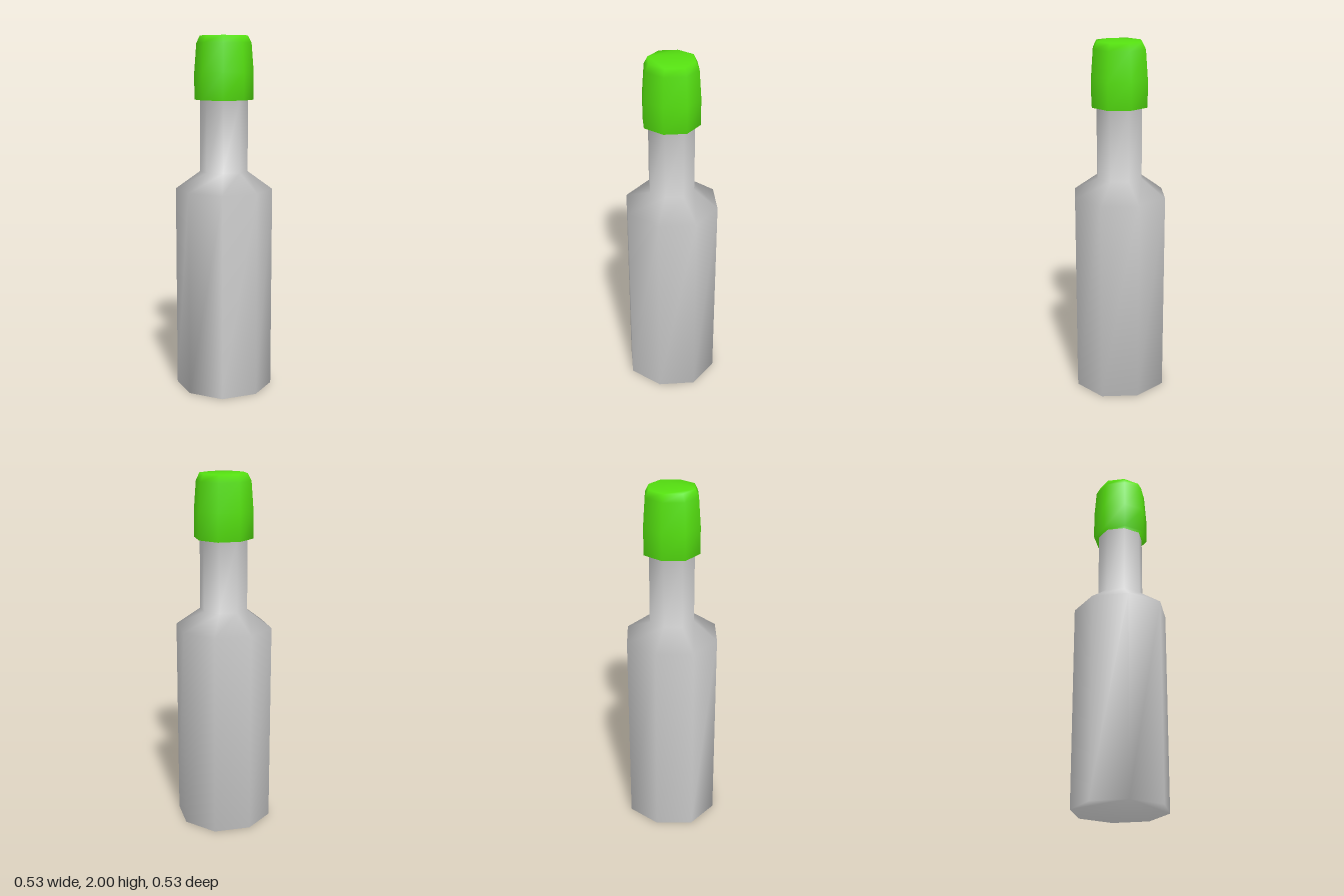
import * as THREE from 'three';

const SIDES = 8;

// profile from base to top: [radius, height]
const profile = [
  [0.265, 0], [0.265, 1.15],               // body
  [0.13, 1.25], [0.13, 1.65],              // shoulder, neck
  [0.16, 1.65], [0.16, 1.80],              // cap rim
  [0.148, 1.96], [0.128, 2.0],             // cap taper and bevel
];
const CAP_START = 3; // first profile band that belongs to the cap

// slightly uneven octagon: the diagonal corners sit a little further out
function ringPoint(radius, i) {
  const r = radius * (i % 2 ? 1.03 : 1);
  const a = (i / SIDES) * Math.PI * 2;
  return [r * Math.sin(a), r * Math.cos(a)];
}

// triangles of the bands between profile rows
function bands(from, to) {
  const index = [];
  for (let row = from; row < to; row++) {
    for (let i = 0; i < SIDES; i++) {
      const j = (i + 1) % SIDES;
      const a = row * SIDES + i, b = row * SIDES + j;
      index.push(a, b, b + SIDES, a, b + SIDES, a + SIDES);
    }
  }
  return index;
}

// flat end face over one ring
function endFace(row, up) {
  const index = [], o = row * SIDES;
  for (let i = 1; i < SIDES - 1; i++) {
    index.push(o, up ? o + i : o + i + 1, up ? o + i + 1 : o + i);
  }
  return index;
}

export function createModel() {
  const positions = [];
  for (const [r, y] of profile) {
    for (let i = 0; i < SIDES; i++) {
      const [x, z] = ringPoint(r, i);
      positions.push(x, y, z);
    }
  }
  const last = profile.length - 1;
  const bottleIndex = [...endFace(0, false), ...bands(0, CAP_START)];
  const capIndex = [...bands(CAP_START, last), ...endFace(last, true)];

  // one smooth skin, so that shading flows from bottle to cap
  const skin = new THREE.BufferGeometry();
  skin.setAttribute('position', new THREE.Float32BufferAttribute(positions, 3));
  skin.setIndex([...bottleIndex, ...capIndex]);
  skin.computeVertexNormals();

  const group = new THREE.Group();
  group.name = 'bottle';
  const addPart = (name, index, color) => {
    const part = skin.clone();
    part.setIndex(index);
    const mesh = new THREE.Mesh(part.toNonIndexed(), new THREE.MeshStandardMaterial({ color }));
    mesh.name = name;
    group.add(mesh);
  };
  addPart('bottleBody', bottleIndex, 0xcccccc);
  addPart('cap', capIndex, 0x55e010);
  return group;
}
